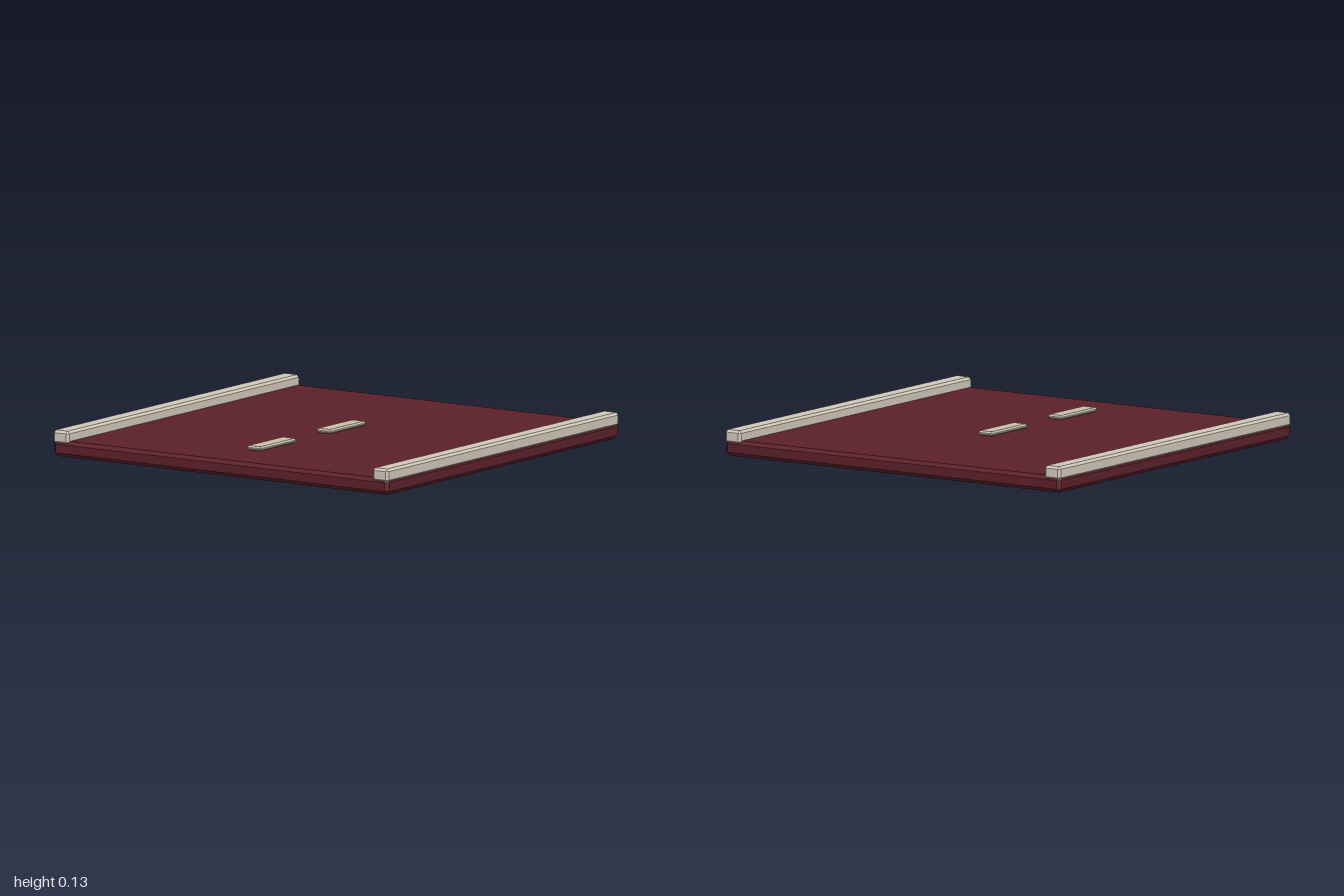
import * as THREE from 'three';
import { ConvexGeometry } from 'three/addons/geometries/ConvexGeometry.js';

// Box with every edge cut by a flat chamfer
function chamferBox(w, h, d, c) {
  const points = [];
  for (const sx of [-1, 1]) for (const sy of [-1, 1]) for (const sz of [-1, 1]) {
    for (let axis = 0; axis < 3; axis++) {
      const inset = [c, c, c];
      inset[axis] = 0;
      points.push(new THREE.Vector3(
        sx * (w / 2 - inset[0]), sy * (h / 2 - inset[1]), sz * (d / 2 - inset[2])));
    }
  }
  return new ConvexGeometry(points);
}

export function createModel() {
  const group = new THREE.Group();
  const red = new THREE.MeshStandardMaterial({ color: 0x5c2029, flatShading: true });
  const stone = new THREE.MeshStandardMaterial({ color: 0xd0c8ba, flatShading: true });
  const paint = new THREE.MeshStandardMaterial({ color: 0xcac0aa, flatShading: true });

  const add = (name, geometry, material, x, y, z) => {
    const mesh = new THREE.Mesh(geometry, material);
    mesh.name = name;
    mesh.position.set(x, y, z);
    group.add(mesh);
  };

  // Road slab
  add('roadSlab', chamferBox(2, 0.08, 2, 0.018), red, 0, 0.04, 0);

  // Raised kerbs along both sides
  const kerb = chamferBox(0.094, 0.067, 2, 0.012);
  add('leftKerb', kerb, stone, 0.953, 0.0965, 0);
  add('rightKerb', kerb, stone, -0.953, 0.0965, 0);

  // Centre line dashes
  const dash = chamferBox(0.085, 0.022, 0.31, 0.008);
  add('rearDash', dash, paint, 0, 0.095, -0.045);
  add('frontDash', dash, paint, 0, 0.095, 0.555);

  return group;
}
